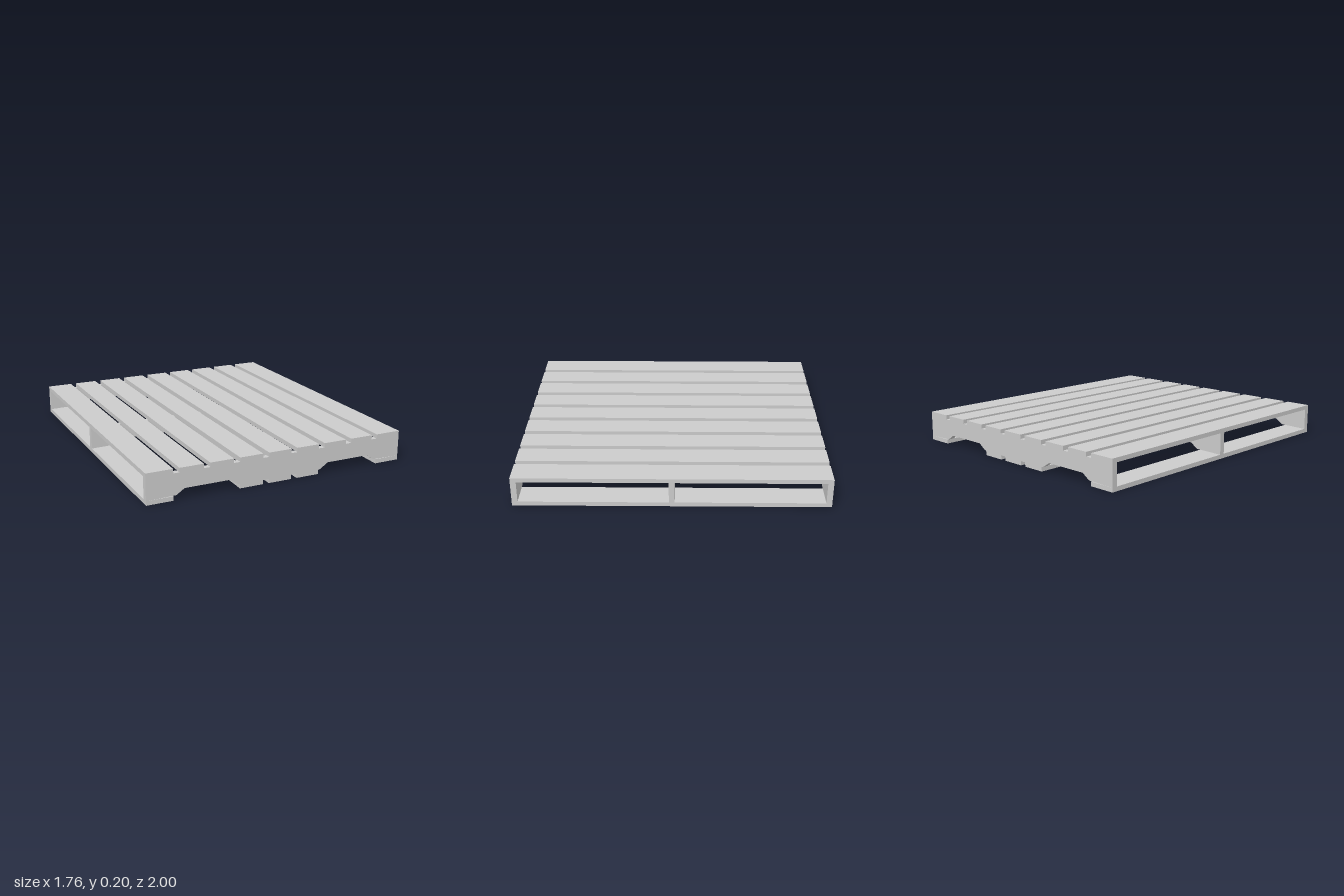
import * as THREE from 'three';

const HALF_W = 0.88, HEIGHT = 0.198, LENGTH = 2;
const BOARD_T = 0.028, STRINGER_T = 0.037;
const PITCH = 0.197, INNER_W = 0.156, OUTER_W = 0.172;

export function createModel() {
  const pallet = new THREE.Group();
  pallet.name = 'pallet';
  const material = new THREE.MeshStandardMaterial({ color: 0xcccccc, flatShading: true });

  const add = (name, geometry, x, y, z) => {
    const mesh = new THREE.Mesh(geometry, material);
    mesh.name = name;
    mesh.position.set(x, y, z);
    pallet.add(mesh);
  };

  // Deck boards run along z; slot 0 is the centre, +-4 the wider edge boards
  const addBoard = (name, slot, y) => {
    const edge = Math.abs(slot) === 4;
    const width = edge ? OUTER_W : INNER_W;
    const x = edge ? Math.sign(slot) * (HALF_W - OUTER_W / 2) : slot * PITCH;
    add(name, new THREE.BoxGeometry(width, BOARD_T, LENGTH), x, y, 0);
  };
  for (let slot = -4; slot <= 4; slot++) addBoard('topBoard', slot, HEIGHT - BOARD_T / 2);
  for (const slot of [-4, -1, 0, 1, 4]) addBoard('bottomBoard', slot, BOARD_T / 2);

  // Stringer profile with two chamfered fork notches in the lower edge
  const low = BOARD_T, high = HEIGHT - BOARD_T, notch = 0.067;
  const profile = new THREE.Shape([
    [-HALF_W, low], [-0.69, low + 0.004], [-0.637, notch], [-0.343, notch], [-0.29, low + 0.004],
    [-0.275, low], [0.275, low],
    [0.29, low + 0.004], [0.343, notch], [0.637, notch], [0.69, low + 0.004], [HALF_W, low],
    [HALF_W, high], [-HALF_W, high],
  ].map(([x, y]) => new THREE.Vector2(x, y)));
  const stringer = new THREE.ExtrudeGeometry(profile, { depth: STRINGER_T, bevelEnabled: false });
  stringer.translate(0, 0, -STRINGER_T / 2);

  const endZ = LENGTH / 2 - STRINGER_T / 2;
  add('frontStringer', stringer, 0, 0, endZ);
  add('middleStringer', stringer, 0, 0, 0);
  add('backStringer', stringer, 0, 0, -endZ);

  return pallet;
}
